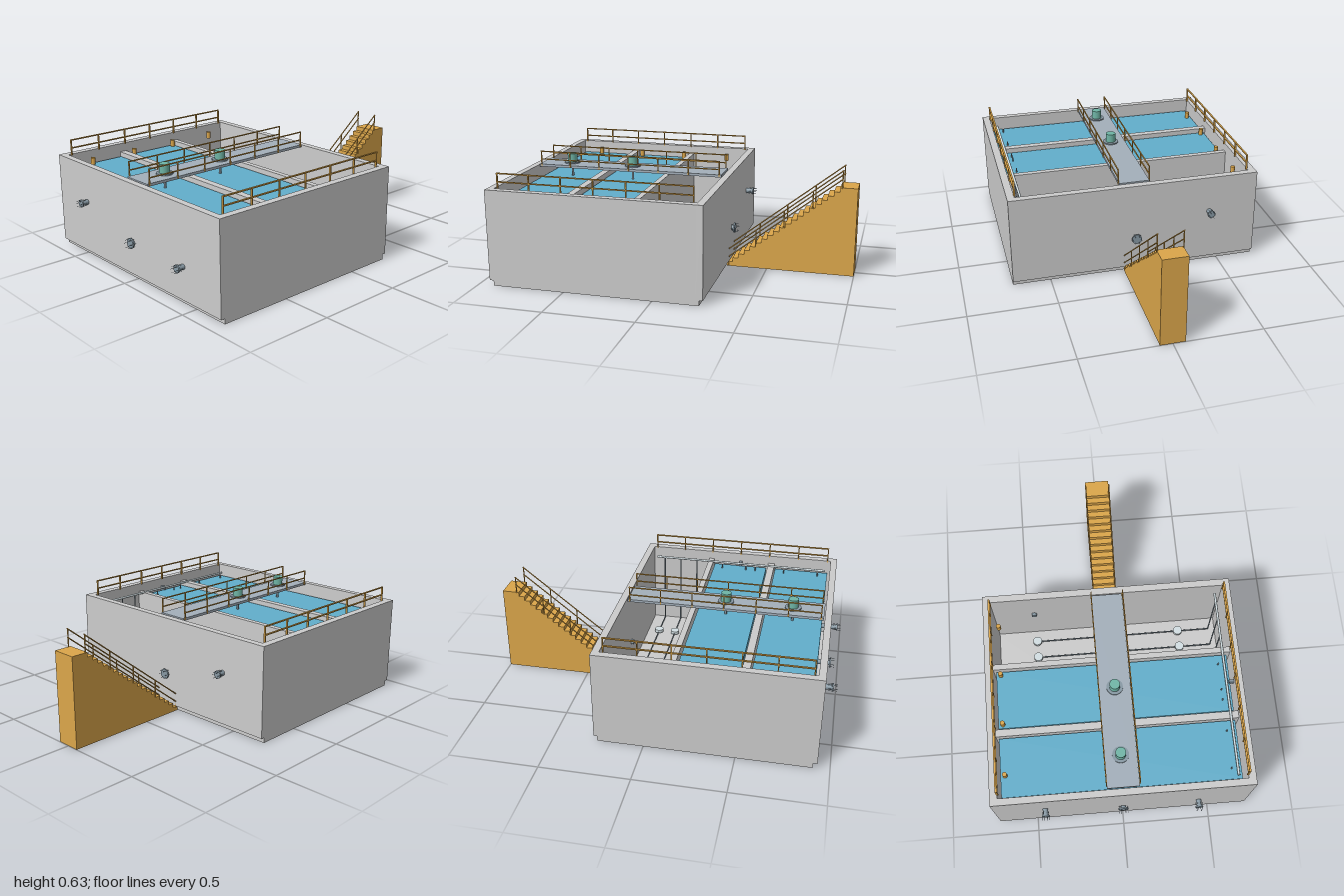
import * as THREE from 'three';

const mat = (color, extra = {}) => new THREE.MeshStandardMaterial({ color, ...extra });
const concrete = mat(0xcccccc);
const ochre = mat(0xdba64a);
const water = mat(0x62aecb);
const deckMat = mat(0xa3afba);
const steel = mat(0x8798a3);
const motorMat = mat(0x6fb5a6);
const discMat = mat(0xd3dfe3);

export function createModel() {
  const root = new THREE.Group();

  const add = (name, geo, material, parent = root) => {
    const m = new THREE.Mesh(geo, material);
    m.name = name;
    parent.add(m);
    return m;
  };
  const group = (name) => {
    const g = new THREE.Group();
    g.name = name;
    root.add(g);
    return g;
  };
  // box from its min and max corners
  const box = (name, a, b, material, parent) => {
    const m = add(name, new THREE.BoxGeometry(b[0] - a[0], b[1] - a[1], b[2] - a[2]), material, parent);
    m.position.set((a[0] + b[0]) / 2, (a[1] + b[1]) / 2, (a[2] + b[2]) / 2);
    return m;
  };
  // round bar between two points
  const bar = (name, a, b, r, material, parent, sides = 8) => {
    const p = new THREE.Vector3(...a), q = new THREE.Vector3(...b), d = q.clone().sub(p);
    const m = add(name, new THREE.CylinderGeometry(r, r, d.length(), sides), material, parent);
    m.position.copy(p).add(q).multiplyScalar(0.5);
    m.quaternion.setFromUnitVectors(new THREE.Vector3(0, 1, 0), d.normalize());
    return m;
  };

  // Tank: floor slab, outer walls and two partitions
  const tank = group('tank');
  box('floorSlab', [-0.91, 0.005, -0.717], [0.257, 0.04, 0.717], concrete, tank);
  box('rightWall', [-0.933, 0.035, -0.717], [-0.895, 0.55, 0.717], concrete, tank);
  box('leftWall', [0.237, 0.035, -0.717], [0.277, 0.55, 0.717], concrete, tank);
  for (const s of [-1, 1]) {
    const [z0, z1] = s < 0 ? [-0.717, -0.675] : [0.675, 0.717];
    box(s < 0 ? 'backWall' : 'frontWall', [-0.9, 0.035, z0], [0.24, 0.55, z1], concrete, tank);
  }
  box('partitionA', [-0.546, 0.04, -0.675], [-0.505, 0.5, 0.675], concrete, tank);
  box('partitionB', [-0.157, 0.04, -0.675], [-0.125, 0.5, 0.675], concrete, tank);
  box('waterA', [-0.88, 0.05, -0.66], [-0.552, 0.475, 0.655], water);
  box('waterB', [-0.495, 0.05, -0.66], [-0.165, 0.475, 0.655], water);

  // Walkway across the tank
  box('walkwayDeck', [-0.89, 0.54, -0.088], [0.23, 0.555, 0.088], deckMat);

  // Straight railings on the end walls and along both walkway sides
  for (const z of [-0.672, -0.09, 0.09, 0.672]) {
    const rail = group('railing');
    const w = Math.abs(z) > 0.5 ? 0.005 : 0.003;
    for (const y of [0.587, 0.634]) {
      box('rail', [-0.878, y - 0.003, z - w], [0.22, y + 0.003, z + w], ochre, rail);
    }
    for (let i = 0; i < 7; i++) {
      const x = -0.875 + i * 0.182;
      box('railPost', [x - 0.003, 0.545, z - w], [x + 0.003, 0.634, z + w], ochre, rail);
    }
  }

  // Mixers standing on the walkway
  for (const x of [-0.713, -0.33]) {
    const mixer = group('mixer');
    bar('mixerFlange', [x, 0.552, 0], [x, 0.562, 0], 0.046, steel, mixer, 24);
    bar('mixerMotor', [x, 0.56, 0], [x, 0.613, 0], 0.029, motorMat, mixer, 24);
    bar('mixerShaft', [x, 0.12, 0], [x, 0.555, 0], 0.007, steel, mixer);
    for (let i = 0; i < 3; i++) {
      const blade = add('mixerBlade', new THREE.BoxGeometry(0.18, 0.006, 0.025), steel, mixer);
      blade.position.set(x, 0.12, 0);
      blade.rotation.y = i * Math.PI / 3;
    }
  }

  // Stairs: one stepped solid, with the top step as a landing
  const steps = 20, sx = 0.265, tread = 0.0335, rise = 0.0257, base = 0.006;
  const side = new THREE.Shape();
  side.moveTo(sx, base);
  for (let i = 0; i < steps; i++) {
    side.lineTo(sx + i * tread, base + (i + 1) * rise);
    side.lineTo(i === steps - 1 ? 1 : sx + (i + 1) * tread, base + (i + 1) * rise);
  }
  side.lineTo(1, base);
  const stairGeo = new THREE.ExtrudeGeometry(side, { depth: 0.14, bevelEnabled: false });
  stairGeo.translate(0, 0, -0.07);
  add('stairs', stairGeo, ochre);

  // Sloping stair railings
  for (const z of [-0.069, 0.069]) {
    const rail = group('stairRailing');
    for (const y of [0.06, 0.108]) {
      bar('stairRail', [0.272, y, z], [0.918, y + 0.512, z], 0.0035, ochre, rail);
    }
    for (let i = 0; i < 5; i++) {
      const x = 0.274 + i * 0.16, y = 0.108 + i * 0.127;
      bar('stairPost', [x, y - 0.1, z], [x, y, z], 0.0035, ochre, rail);
    }
  }

  // Flanged wall pipes: [side, height, z, flange x, flange radius]
  const ports = [
    [1, 0.335, -0.435, 0.318, 0.022], [1, 0.22, 0, 0.294, 0.029],
    [-1, 0.335, -0.435, -0.973, 0.022], [-1, 0.22, 0, -0.95, 0.029], [-1, 0.22, 0.43, -0.973, 0.022],
  ];
  for (const [s, y, z, fx, r] of ports) {
    const port = group('pipePort');
    bar('portPipe', [s > 0 ? 0.22 : -0.88, y, z], [fx + s * 0.004, y, z], 0.015, steel, port, 20);
    bar('portFlange', [fx - 0.004, y, z], [fx + 0.004, y, z], r, steel, port, 24);
    for (let i = 0; i < 6; i++) {
      const a = i * Math.PI / 3, by = y + Math.sin(a) * r * 0.83, bz = z + Math.cos(a) * r * 0.83;
      bar('flangeBolt', [fx - 0.024, by, bz], [fx + 0.024, by, bz], 0.001, steel, port, 6);
    }
  }

  // Air header on the front wall with feeds to floor discs in the dry chamber
  const air = group('aeration');
  bar('airHeader', [-0.865, 0.5, 0.632], [0.21, 0.5, 0.632], 0.007, discMat, air);
  for (const x of [-0.05, 0.055, 0.16]) {
    bar('dropPipe', [x, 0.06, 0.632], [x, 0.5, 0.632], 0.004, steel, air);
    bar('floorPipe', [x, 0.06, -0.44], [x, 0.06, 0.632], 0.004, steel, air);
    for (const z of [-0.44, 0.44]) {
      bar('airDisc', [x, 0.055, z], [x, 0.075, z], 0.027, discMat, air, 24);
    }
  }
  for (const x of [-0.82, -0.61, -0.43, -0.37, -0.22]) {
    bar('airNozzle', [x, 0.46, 0.6], [x, 0.5, 0.6], 0.004, steel, air);
  }
  box('headerBracket', [-0.338, 0.47, 0.647], [-0.322, 0.5, 0.675], steel, air);

  // Level sensors along the back wall
  for (let i = 0; i < 4; i++) {
    const x = -0.76 + i * 0.288;
    bar('levelSensor', [x, 0.475, -0.635], [x, 0.515, -0.635], 0.013, ochre, root, 16);
  }

  return root;
}
